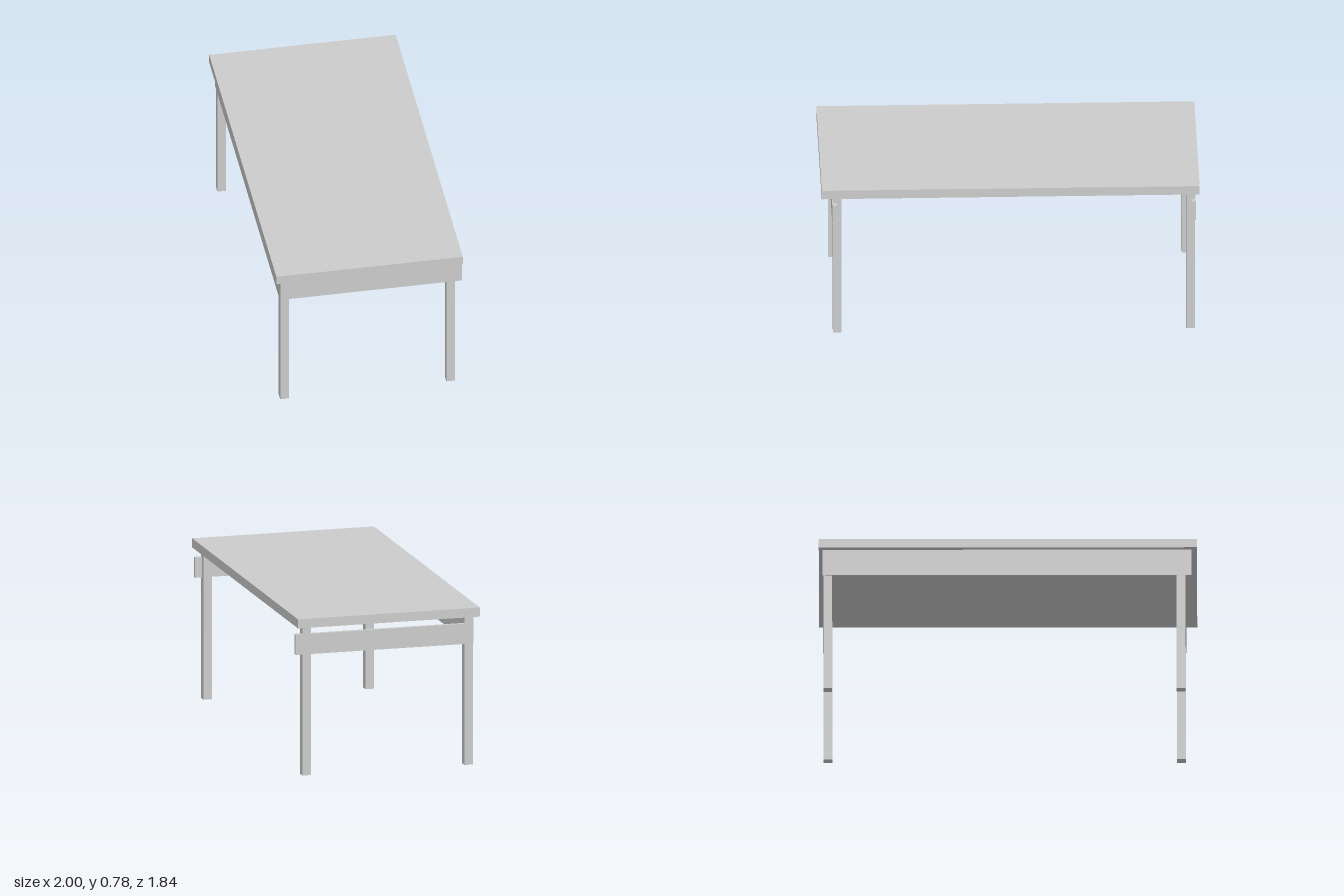
import * as THREE from 'three';

export function createModel() {
  const material = new THREE.MeshStandardMaterial({ color: 0xcccccc, flatShading: true });
  const model = new THREE.Group();
  model.name = 'table';

  // Box given by its minimum and maximum corners
  const addBox = (name, [x0, y0, z0], [x1, y1, z1]) => {
    const mesh = new THREE.Mesh(new THREE.BoxGeometry(x1 - x0, y1 - y0, z1 - z0), material);
    mesh.position.set((x0 + x1) / 2, (y0 + y1) / 2, (z0 + z1) / 2);
    mesh.name = name;
    model.add(mesh);
  };

  const topBottom = 0.735;
  const apronBottom = 0.6;
  const half = 0.021; // half the leg width

  addBox('tabletop', [-0.912, topBottom, -0.457], [0.912, 0.78, 0.457]);

  // Four square legs
  for (const [side, x] of [['right', -0.869], ['left', 0.836]]) {
    for (const [end, z] of [['Front', 0.407], ['Back', -0.407]]) {
      addBox(`${side}${end}Leg`, [x - half, 0, z - half], [x + half, topBottom, z + half]);
    }
  }

  // Tall apron along the front; the back is open
  addBox('frontApron', [-0.894, apronBottom, 0.41], [0.886, topBottom, 0.431]);

  // Lower end aprons with a gap beneath the top, running past the back legs
  addBox('rightApron', [-0.893, apronBottom, -0.463], [-0.873, 0.7, 0.41]);
  addBox('leftApron', [0.841, apronBottom, -0.463], [0.861, 0.7, 0.41]);

  // The table stands turned on the floor
  model.rotation.y = -0.665;
  const group = new THREE.Group();
  group.add(model);
  return group;
}
